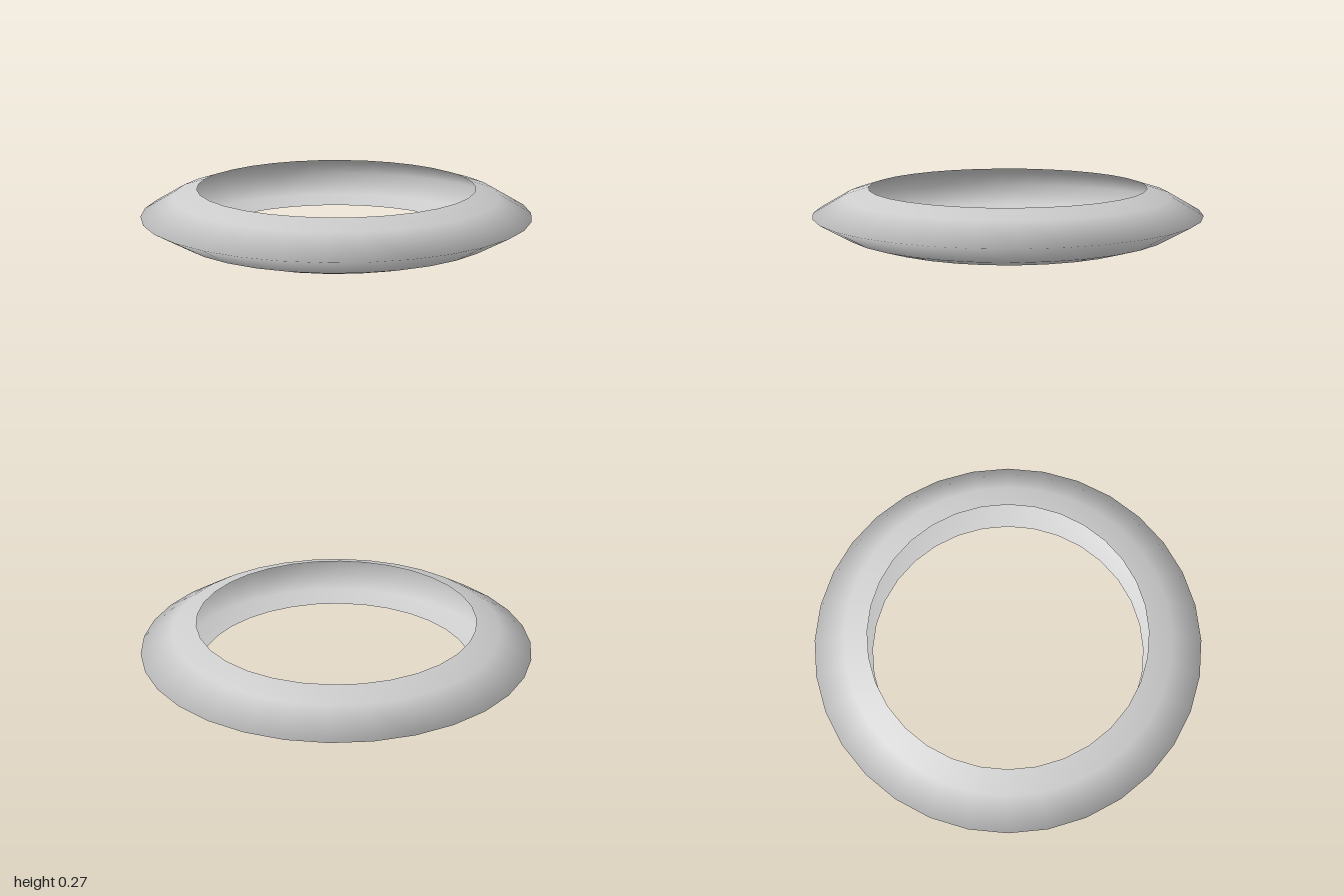
import * as THREE from 'three';

export function createModel() {
  const group = new THREE.Group();
  group.name = 'ring';

  // Half profile from the outer edge to the upper rim: radius, height above the middle
  const half = [[1, 0], [0.836, 0.095], [0.714, 0.133]];
  const mid = 0.133;
  const lower = half.slice(1).reverse().map(([r, h]) => new THREE.Vector2(r, mid - h));
  const upper = half.map(([r, h]) => new THREE.Vector2(r, mid + h));

  // Thin shell, open on its inner side
  const shell = new THREE.Mesh(
    new THREE.LatheGeometry([...lower, ...upper], 32),
    new THREE.MeshStandardMaterial({ color: 0xcccccc, side: THREE.DoubleSide })
  );
  shell.name = 'ringShell';
  group.add(shell);
  return group;
}
